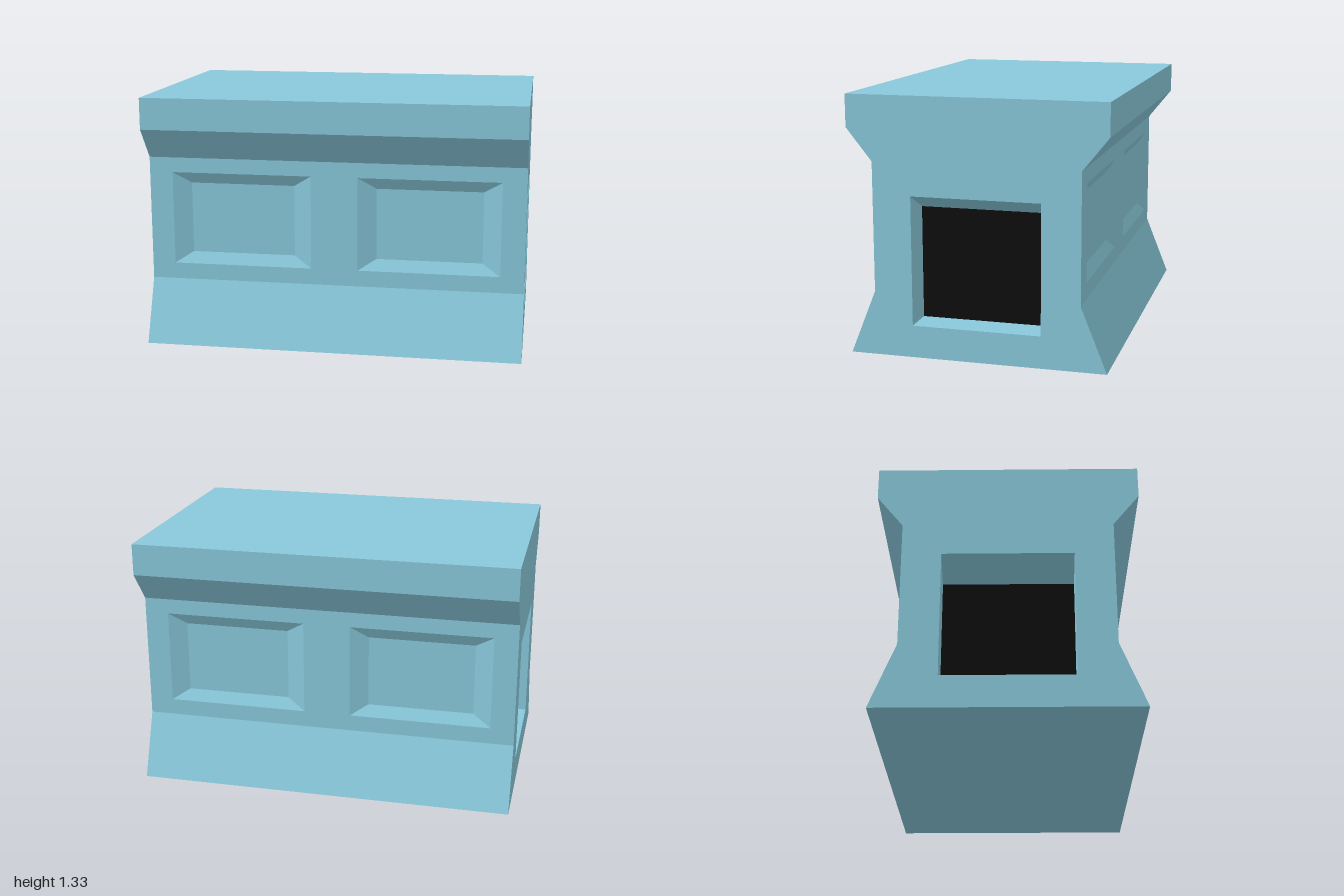
import * as THREE from 'three';

const blue = new THREE.MeshStandardMaterial({ name: 'paintedBlue', color: 0x88c8da });
const black = new THREE.MeshStandardMaterial({ name: 'openingBlack', color: 0x0d0d0d });

function part(name, geometry, material = blue) {
  const mesh = new THREE.Mesh(geometry, material);
  mesh.name = name;
  return mesh;
}

// Flat quads joining two matching rows of points
function loft(a, b, closed = false) {
  const pos = [];
  const n = a.length;
  for (let i = 0; i < (closed ? n : n - 1); i++) {
    const j = (i + 1) % n;
    pos.push(...a[i], ...a[j], ...b[j], ...a[i], ...b[j], ...b[i]);
  }
  const g = new THREE.BufferGeometry();
  g.setAttribute('position', new THREE.Float32BufferAttribute(pos, 3));
  g.computeVertexNormals();
  return g;
}

// Counter-clockwise rectangle at depth z
const rect = (x0, x1, y0, y1, z = 0) => [[x0, y0, z], [x1, y0, z], [x1, y1, z], [x0, y1, z]];
const points = (loop) => loop.map(([x, y]) => new THREE.Vector2(x, y));

function plate(outline, holes, z) {
  const shape = new THREE.Shape(points(outline));
  for (const hole of holes) shape.holes.push(new THREE.Path(points(hole).reverse()));
  return new THREE.ShapeGeometry(shape).translate(0, 0, z);
}

const H = 4 / 3, FOOT = 1 / 3, NECK = 1, LIP = 7 / 6; // heights
const WIDE = 2 / 3, WAIST = 0.533, PANEL = 0.5;       // half depths

// Long face: flared base, panelled band, cornice
function createSide(name) {
  const side = new THREE.Group();
  side.name = name;
  const row = (y, z) => [[-1, y, z], [1, y, z]];
  side.add(part('flaredBase', loft(row(0, WIDE), row(FOOT, WAIST))));
  side.add(part('corniceUnderside', loft(row(NECK, WAIST), row(LIP, WIDE))));
  side.add(part('corniceFace', loft(row(LIP, WIDE), row(H, WIDE))));

  const openings = [-0.5, 0.5].map((c) => rect(c - 0.375, c + 0.375, 0.42, 0.92, WAIST));
  side.add(part('panelBand', plate(rect(-1, 1, FOOT, NECK), openings, WAIST)));
  [-0.5, 0.5].forEach((c, i) => {
    const inner = rect(c - 0.28, c + 0.28, 0.48, 0.86, PANEL);
    side.add(part('panelBevel', loft(openings[i], inner, true)));
    side.add(part('panelFloor', plate(inner, [], PANEL)));
  });
  return side;
}

// Short face with a deep opening, built facing +z
function createEnd(name) {
  const end = new THREE.Group();
  end.name = name;
  const half = [[WIDE, 0], [WAIST, FOOT], [WAIST, NECK], [WIDE, LIP], [WIDE, H]];
  const outline = [...half, ...half.map(([x, y]) => [-x, y]).reverse()];
  const outer = rect(-1 / 3, 1 / 3, 1 / 6, 5 / 6, 1);
  const inner = rect(-1 / 3, 1 / 3, 1 / 6, 0.75, 5 / 6);
  end.add(part('endWall', plate(outline, [outer], 1)));
  end.add(part('openingReveal', loft(outer, inner, true)));
  end.add(part('openingBack', plate(inner, [], 5 / 6), black));
  return end;
}

export function createModel() {
  const model = new THREE.Group();
  model.name = 'pedestal';

  const front = createSide('frontSide');
  const back = createSide('backSide');
  back.rotation.y = Math.PI;
  const left = createEnd('leftEnd');
  left.rotation.y = Math.PI / 2;
  const right = createEnd('rightEnd');
  right.rotation.y = -Math.PI / 2;

  const slab = () => new THREE.PlaneGeometry(2, 2 * WIDE);
  const top = part('topSurface', slab().rotateX(-Math.PI / 2).translate(0, H, 0));
  const bottom = part('underside', slab().rotateX(Math.PI / 2));

  model.add(front, back, left, right, top, bottom);
  return model;
}
